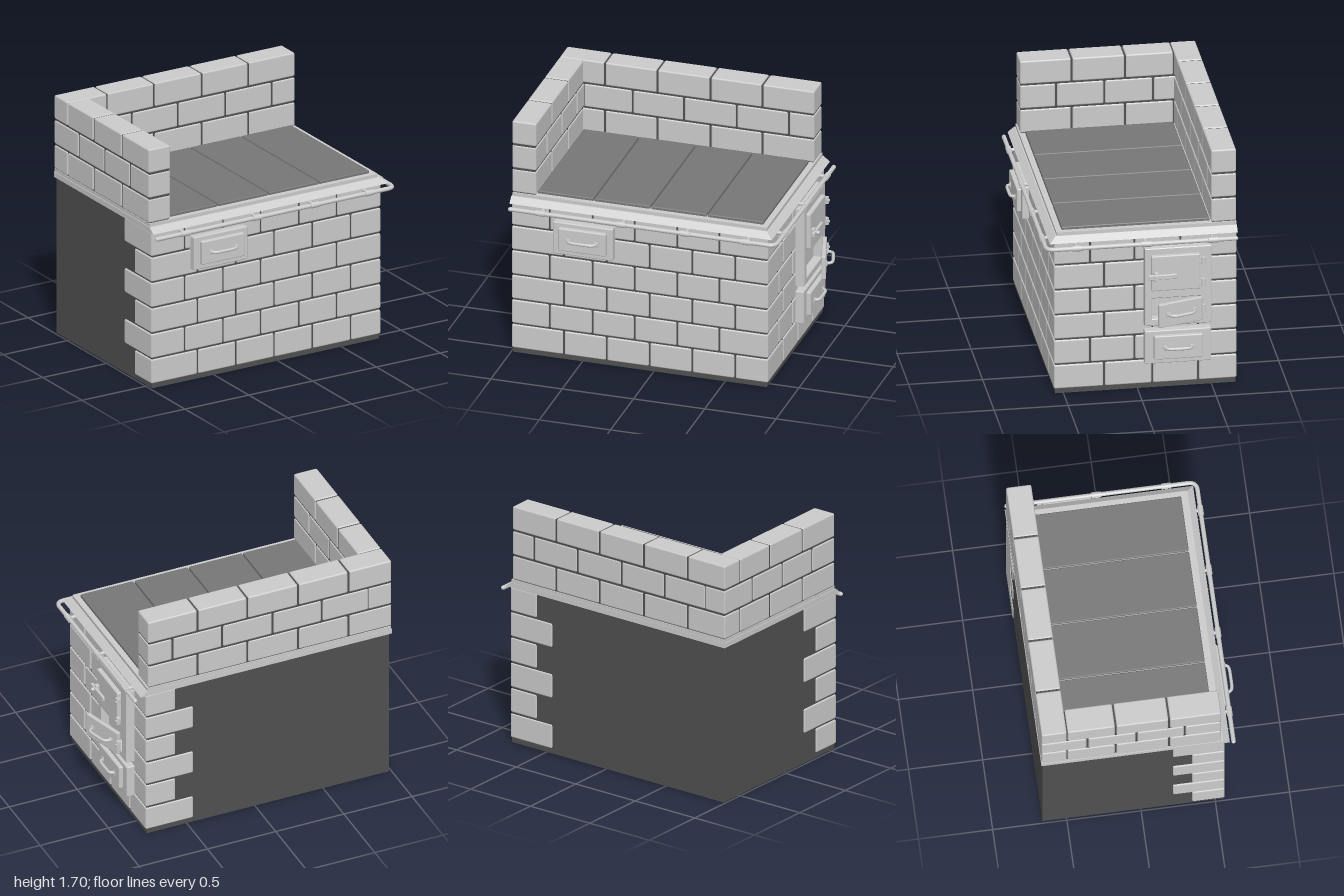
import * as THREE from 'three';
import { RoundedBoxGeometry } from 'three/addons/geometries/RoundedBoxGeometry.js';

const grey = new THREE.MeshStandardMaterial({ color: 0xcccccc });
const mortar = new THREE.MeshStandardMaterial({ color: 0x505050 });
const iron = new THREE.MeshStandardMaterial({ color: 0x777777 });

function add(parent, name, geometry, material = grey) {
  const mesh = new THREE.Mesh(geometry, material);
  mesh.name = name;
  parent.add(mesh);
  return mesh;
}

// box given by its limits; r > 0 rounds the edges
function block(parent, name, [x0, x1], [y0, y1], [z0, z1], r = 0, material = grey) {
  const s = [x1 - x0, y1 - y0, z1 - z0];
  const g = r ? new RoundedBoxGeometry(...s, 1, r) : new THREE.BoxGeometry(...s);
  const mesh = add(parent, name, g, material);
  mesh.position.set((x0 + x1) / 2, (y0 + y1) / 2, (z0 + z1) / 2);
  return mesh;
}

const GAP = 0.005;
function brick(parent, x, y, z) {
  block(parent, 'brick', [x[0], x[1]], [y[0] + GAP, y[1] - GAP], [z[0], z[1]], 0.011);
}

// cylinder between two points
function rod(parent, name, a, b, r, sides = 14) {
  const p = new THREE.Vector3(...a), d = new THREE.Vector3(...b).sub(p);
  const mesh = add(parent, name, new THREE.CylinderGeometry(r, r, d.length(), sides));
  mesh.position.copy(p).addScaledVector(d, 0.5);
  mesh.quaternion.setFromUnitVectors(new THREE.Vector3(0, 1, 0), d.normalize());
  return mesh;
}

// bowed grip facing +z
function handle(parent, x, y, z, w, depth) {
  const h = w / 2;
  const pts = [[-h, 0], [-h * 0.85, depth * 0.75], [-h * 0.55, depth], [h * 0.55, depth], [h * 0.85, depth * 0.75], [h, 0]];
  const curve = new THREE.CatmullRomCurve3(pts.map(([a, b]) => new THREE.Vector3(a, 0, b)), false, 'catmullrom', 0.3);
  const grip = add(parent, 'handle', new THREE.TubeGeometry(curve, 24, 0.011, 8));
  grip.position.set(x, y, z);
  for (const s of [-1, 1]) block(parent, 'handleFoot', [x + s * h - 0.016, x + s * h + 0.016], [y - 0.016, y + 0.016], [z - 0.004, z + 0.008], 0.003);
}

// frame plate with a raised drawer front and a handle
function drawer(parent, name, fx, fy, px, py, hw) {
  const g = new THREE.Group();
  g.name = name;
  block(g, 'framePlate', fx, fy, [-0.02, 0.055], 0.008);
  block(g, 'frontPanel', px, py, [0.03, 0.085], 0.008);
  handle(g, (px[0] + px[1]) / 2, (py[0] + py[1]) / 2, 0.083, hw, 0.033);
  parent.add(g);
  return g;
}

function hinge(parent, x, y, z) {
  rod(parent, 'hingePin', [x, y - 0.024, z], [x, y + 0.024, z], 0.015);
  block(parent, 'hingeLeaf', [x - 0.04, x + 0.012], [y - 0.01, y + 0.01], [z - 0.012, z + 0.004]);
  rod(parent, 'hingeBolt', [x, y, z], [x, y, z + 0.022], 0.009, 8);
}

function buildBody(root) {
  const body = new THREE.Group();
  body.name = 'brickBody';
  root.add(body);
  block(body, 'mortarCore', [-0.985, 0.793], [0, 1.12], [-0.663, 0.555], 0, mortar);
  const X0 = -0.995, X1 = 0.803, Z0 = -0.67, Z1 = 0.565, D = 0.12;
  for (let i = 0; i < 6; i++) {
    const y = [0.03 + i * 0.182, 0.03 + (i + 1) * 0.182], odd = i % 2 === 0;
    const xs = odd ? [-0.63, -0.33, -0.03, 0.27, 0.57] : [-0.73, -0.43, -0.135, 0.165, 0.46];
    const zs = odd ? [0.225, -0.10, -0.41] : [0.32, 0.02, -0.29];
    // corner bricks show on both faces
    brick(body, [X0, xs[0] - GAP], y, [Z1 - (odd ? 0.22 : 0.35), Z1]);
    brick(body, [xs[4] + GAP, X1], y, [zs[0] + GAP, Z1]);
    brick(body, [X1 - (odd ? 0.35 : 0.22), X1], y, [Z0, zs[2] - GAP]);
    for (let k = 0; k < 4; k++) brick(body, [xs[k] + GAP, xs[k + 1] - GAP], y, [Z1 - D, Z1]);
    for (let k = 0; k < 2; k++) brick(body, [X1 - D, X1], y, [zs[k + 1] + GAP, zs[k] - GAP]);
  }
}

function buildWalls(root) {
  const walls = new THREE.Group();
  walls.name = 'upperWalls';
  root.add(walls);
  block(walls, 'backMortar', [-0.992, 0.777], [1.15, 1.693], [-0.664, -0.508], 0, mortar);
  block(walls, 'sideMortar', [-0.992, -0.838], [1.15, 1.693], [-0.6, 0.535], 0, mortar);
  for (let i = 0; i < 3; i++) {
    const y = [1.172 + i * 0.178, 1.172 + (i + 1) * 0.178], mid = i === 1;
    const xs = mid ? [-0.83, -0.49, -0.13, 0.24, 0.605, 0.785] : [-1, -0.685, -0.317, 0.056, 0.42, 0.785];
    const zs = mid ? [-0.67, -0.36, -0.03, 0.295, 0.545] : [-0.5, -0.17, 0.19, 0.545];
    for (let k = 0; k + 1 < xs.length; k++) brick(walls, [xs[k] + (k ? GAP : 0), xs[k + 1] - (k + 2 < xs.length ? GAP : 0)], y, [-0.67, -0.5]);
    for (let k = 0; k + 1 < zs.length; k++) brick(walls, [-1, -0.83], y, [zs[k] + (k || !mid ? GAP : 0), zs[k + 1] - GAP]);
  }
}

function buildCooktop(root) {
  const top = new THREE.Group();
  top.name = 'cooktop';
  root.add(top);
  // sloped rim on the front and right edges
  const rim = block(top, 'slopedRim', [-1, 0.84], [1.115, 1.152], [-0.672, 0.598]);
  const p = rim.geometry.attributes.position;
  for (let i = 0; i < p.count; i++) {
    if (p.getY(i) < 0) continue;
    if (p.getX(i) > 0) p.setX(i, p.getX(i) - 0.045);
    if (p.getZ(i) > 0) p.setZ(i, p.getZ(i) - 0.045);
  }
  rim.geometry.computeVertexNormals();
  block(top, 'topFrame', [-0.995, 0.79], [1.14, 1.175], [-0.67, 0.545]);
  for (let i = 0; i < 4; i++) {
    const x = -0.83 + i * 0.397;
    block(top, 'hotPlate', [x, x + 0.389], [1.16, 1.194], [-0.495, 0.505], 0.007, iron);
  }
}

function buildRail(root) {
  const rail = new THREE.Group();
  rail.name = 'handRail';
  root.add(rail);
  const y = 1.088, v = (x, z) => new THREE.Vector3(x, y, z);
  const path = new THREE.CurvePath();
  path.add(new THREE.LineCurve3(v(-0.985, 0.625), v(0.82, 0.625)));
  path.add(new THREE.QuadraticBezierCurve3(v(0.82, 0.625), v(0.873, 0.625), v(0.873, 0.57)));
  path.add(new THREE.LineCurve3(v(0.873, 0.57), v(0.873, -0.655)));
  add(rail, 'railBar', new THREE.TubeGeometry(path, 160, 0.015, 12));
  for (const [x, z] of [[-0.985, 0.625], [0.873, -0.655]]) add(rail, 'railEnd', new THREE.SphereGeometry(0.015, 12, 8)).position.set(x, y, z);
  for (const x of [-0.77, -0.205, 0.243, 0.67]) {
    rod(rail, 'collar', [x - 0.032, y, 0.625], [x + 0.032, y, 0.625], 0.02);
    rod(rail, 'bracket', [x, y, 0.54], [x, y, 0.625], 0.012);
  }
  for (const z of [0.42, -0.05, -0.5]) {
    rod(rail, 'collar', [0.873, y, z - 0.032], [0.873, y, z + 0.032], 0.02);
    rod(rail, 'bracket', [0.78, y, z], [0.873, y, z], 0.012);
  }
}

function buildDoors(root) {
  const front = drawer(root, 'frontDoor', [-0.69, -0.27], [0.80, 1.035], [-0.645, -0.31], [0.84, 1.005], 0.2);
  front.position.z = 0.558;

  // right side doors are built facing +z, then turned to face +x
  const side = new THREE.Group();
  side.name = 'sideDoors';
  side.position.x = 0.805;
  side.rotation.y = Math.PI / 2;
  root.add(side);
  drawer(side, 'ashDoor', [0.04, 0.49], [0.2, 0.44], [0.1, 0.43], [0.24, 0.41], 0.18);

  // fire door frame with the lower opening cut through
  const shape = new THREE.Shape([[0.045, 0.485], [0.485, 0.485], [0.485, 1.04], [0.045, 1.04]].map(q => new THREE.Vector2(...q)));
  shape.holes.push(new THREE.Path([[0.085, 0.525], [0.085, 0.685], [0.42, 0.685], [0.42, 0.525]].map(q => new THREE.Vector2(...q))));
  const frame = add(side, 'fireFrame', new THREE.ExtrudeGeometry(shape, { depth: 0.06, bevelThickness: 0.005, bevelSize: 0.005, bevelSegments: 1 }));
  frame.position.z = -0.005;
  block(side, 'openingBack', [0.07, 0.43], [0.51, 0.70], [-0.02, 0.004], 0, grey);

  // closed upper door with latch
  block(side, 'fireDoor', [0.08, 0.41], [0.745, 1.0], [0.04, 0.09], 0.008);
  rod(side, 'latchPivot', [0.11, 0.86, 0.08], [0.11, 0.86, 0.145], 0.014);
  block(side, 'latchBoss', [0.095, 0.125], [0.83, 0.89], [0.085, 0.115], 0.004);
  block(side, 'latchBar', [0.055, 0.25], [0.843, 0.877], [0.105, 0.125], 0.005);
  for (const y of [0.95, 0.795, 0.605]) hinge(side, 0.43, y, 0.09);

  // lower door standing ajar
  const ajar = new THREE.Group();
  ajar.name = 'openDoor';
  ajar.position.set(0.425, 0, 0.075);
  ajar.rotation.y = 0.29;
  block(ajar, 'doorPanel', [-0.325, -0.005], [0.515, 0.685], [-0.012, 0.018], 0.007);
  handle(ajar, -0.165, 0.605, 0.018, 0.19, 0.045);
  side.add(ajar);
}

export function createModel() {
  const root = new THREE.Group();
  root.name = 'brickStove';
  buildBody(root);
  buildWalls(root);
  buildCooktop(root);
  buildRail(root);
  buildDoors(root);
  return root;
}
